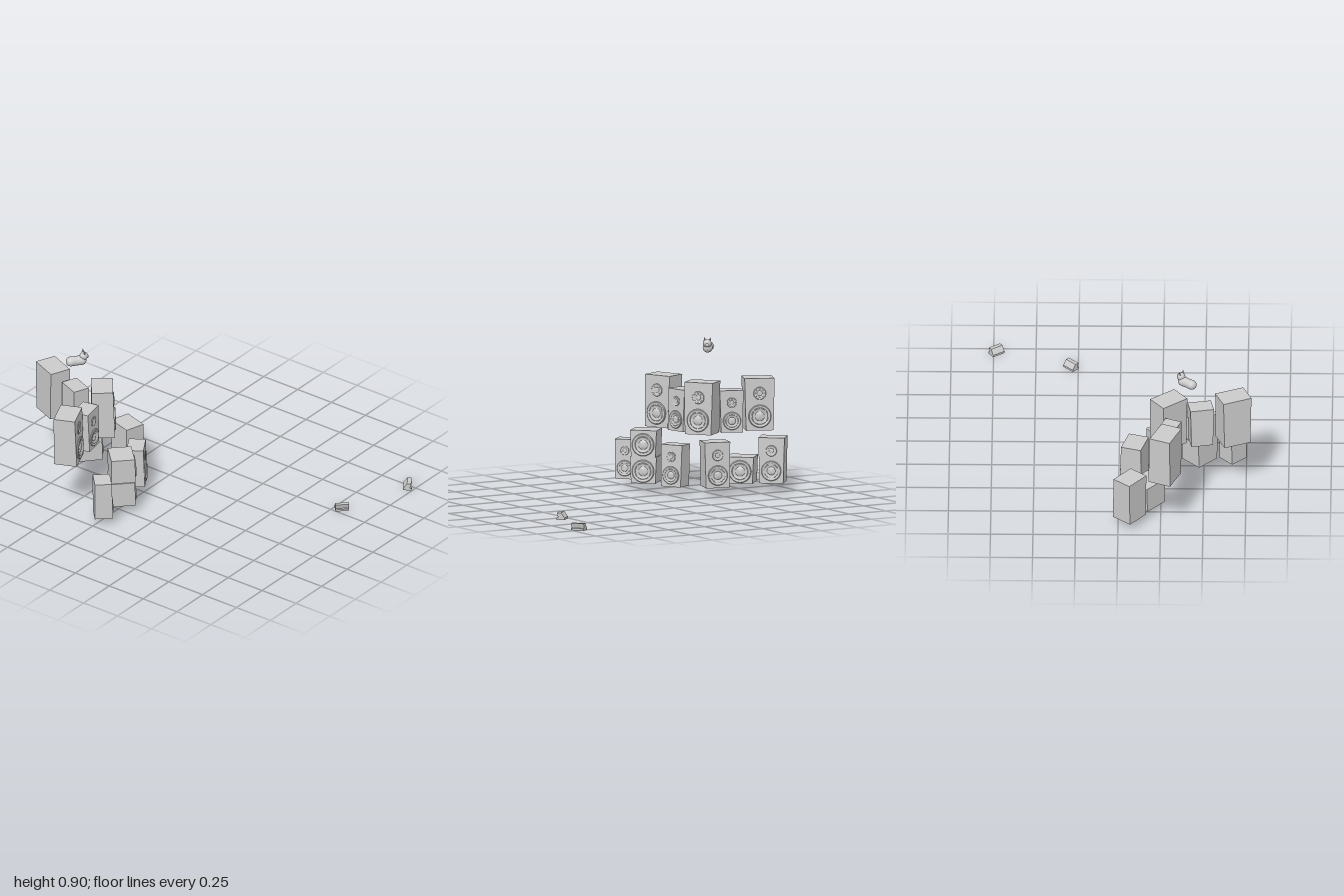
import * as THREE from 'three';
import { toCreasedNormals } from 'three/addons/utils/BufferGeometryUtils.js';

const grey = new THREE.MeshStandardMaterial({ color: 0xcccccc });

function mesh(name, geometry, parent) {
  const m = new THREE.Mesh(geometry, grey);
  m.name = name;
  parent.add(m);
  return m;
}

// Round driver: raised rim, sunken cone and dust cap, facing +z
function driverGeometry(r) {
  const profile = [
    [1, -0.1], [1, 0.07], [0.94, 0.13], [0.82, 0.13], [0.74, 0.08],
    [0.68, 0.1], [0.62, 0.08], [0.42, 0.02], [0.36, 0.08], [0.2, 0.13], [0, 0.15],
  ].map(([a, b]) => new THREE.Vector2(a * r, b * r));
  const g = new THREE.LatheGeometry(profile, 32).rotateX(Math.PI / 2);
  return toCreasedNormals(g, 0.6);
}

// Cabinet that narrows downward, with a front that leans back
function speaker(name, [w, h, d], drivers) {
  const group = new THREE.Group();
  group.name = name;
  const lean = h * 0.035;
  const g = new THREE.BoxGeometry(w, h, d).translate(0, h / 2, 0);
  const p = g.attributes.position;
  for (let i = 0; i < p.count; i++) {
    if (p.getY(i) > h / 2) continue;
    p.setX(i, p.getX(i) * 0.92);
    if (p.getZ(i) > 0) p.setZ(i, p.getZ(i) + lean);
  }
  g.computeVertexNormals();
  mesh('cabinet', g, group);
  for (const [label, y, r] of drivers) {
    const m = mesh(label, driverGeometry(r * w), group);
    m.position.set(0, y * h, d / 2 + lean * (1 - y));
    m.rotation.x = -Math.atan(lean / h);
  }
  return group;
}

// Low floor monitor: thin base, sloped face toward +z, undercut back
function floorMonitor() {
  const outline = [
    [-0.025, 0], [0.025, 0], [0.025, 0.012], [0.002, 0.042],
    [-0.022, 0.042], [-0.014, 0.013], [-0.025, 0.012],
  ].map(([a, b]) => new THREE.Vector2(a, b));
  const g = new THREE.ExtrudeGeometry(new THREE.Shape(outline), { depth: 0.08, bevelEnabled: false });
  g.translate(0, 0, -0.04).rotateY(-Math.PI / 2);
  const group = new THREE.Group();
  group.name = 'floorMonitor';
  mesh('wedge', g, group);
  return group;
}

// Small cat lying down, facing +z
function cat() {
  const group = new THREE.Group();
  group.name = 'cat';
  const g = new THREE.CapsuleGeometry(0.029, 0.066, 8, 20, 6).rotateX(Math.PI / 2);
  const p = g.attributes.position;
  for (let i = 0; i < p.count; i++) {
    const waist = 1 - 0.1 * Math.exp(-((p.getZ(i) / 0.02) ** 2));
    p.setX(i, p.getX(i) * waist);
    p.setY(i, Math.max(p.getY(i), -0.026));
  }
  g.computeVertexNormals();
  mesh('body', g, group);
  const head = mesh('head', new THREE.SphereGeometry(0.025, 20, 14), group);
  head.position.set(0, 0.027, 0.046);
  const muzzle = mesh('muzzle', new THREE.SphereGeometry(0.011, 14, 10), group);
  muzzle.position.set(0, 0.021, 0.065);
  for (const s of [-1, 1]) {
    const ear = mesh('ear', new THREE.ConeGeometry(0.01, 0.024, 4), group);
    ear.position.set(s * 0.016, 0.053, 0.045);
    ear.rotation.z = -s * 0.25;
  }
  return group;
}

const twoWay = [['woofer', 0.275, 0.38], ['tweeter', 0.715, 0.21]];
const sizes = {
  large: [[0.178, 0.308, 0.128], twoWay],
  tall: [[0.155, 0.27, 0.122], twoWay],
  medium: [[0.14, 0.248, 0.1], twoWay],
  small: [[0.124, 0.235, 0.1], twoWay],
  bass: [[0.16, 0.157, 0.14], [['woofer', 0.46, 0.42]]],
};

// Kind, x, base height, z, heading in degrees
const stacks = [
  ['large', -0.675, 0.34, -0.49, 23],
  ['medium', -0.483, 0.337, -0.505, 11],
  ['large', -0.295, 0.34, -0.525, 38],
  ['medium', -0.298, 0.337, -0.72, 68],
  ['large', -0.28, 0.34, -0.9, 67],
  ['small', -0.673, 0.05, -0.238, 43],
  ['bass', -0.475, 0.05, -0.247, 45],
  ['bass', -0.475, 0.207, -0.247, 45],
  ['medium', -0.247, 0.05, -0.31, 31],
  ['tall', -0.095, 0.05, -0.49, 73],
  ['bass', -0.17, 0.05, -0.725, 48],
  ['tall', -0.07, 0.052, -0.875, 50],
];

export function createModel() {
  const model = new THREE.Group();
  model.name = 'speakerStage';
  const place = (part, x, y, z, degrees) => {
    part.position.set(x, y, z);
    part.rotation.y = THREE.MathUtils.degToRad(degrees);
    model.add(part);
  };
  for (const [kind, x, y, z, a] of stacks) {
    place(speaker(kind + 'Speaker', ...sizes[kind]), x, y, z, a);
  }
  place(floorMonitor(), 0.293, 0, 0.8, 135);
  place(floorMonitor(), 0.733, 0, 0.953, 215);
  place(cat(), -0.405, 0.831, -0.633, 52);
  return model;
}
